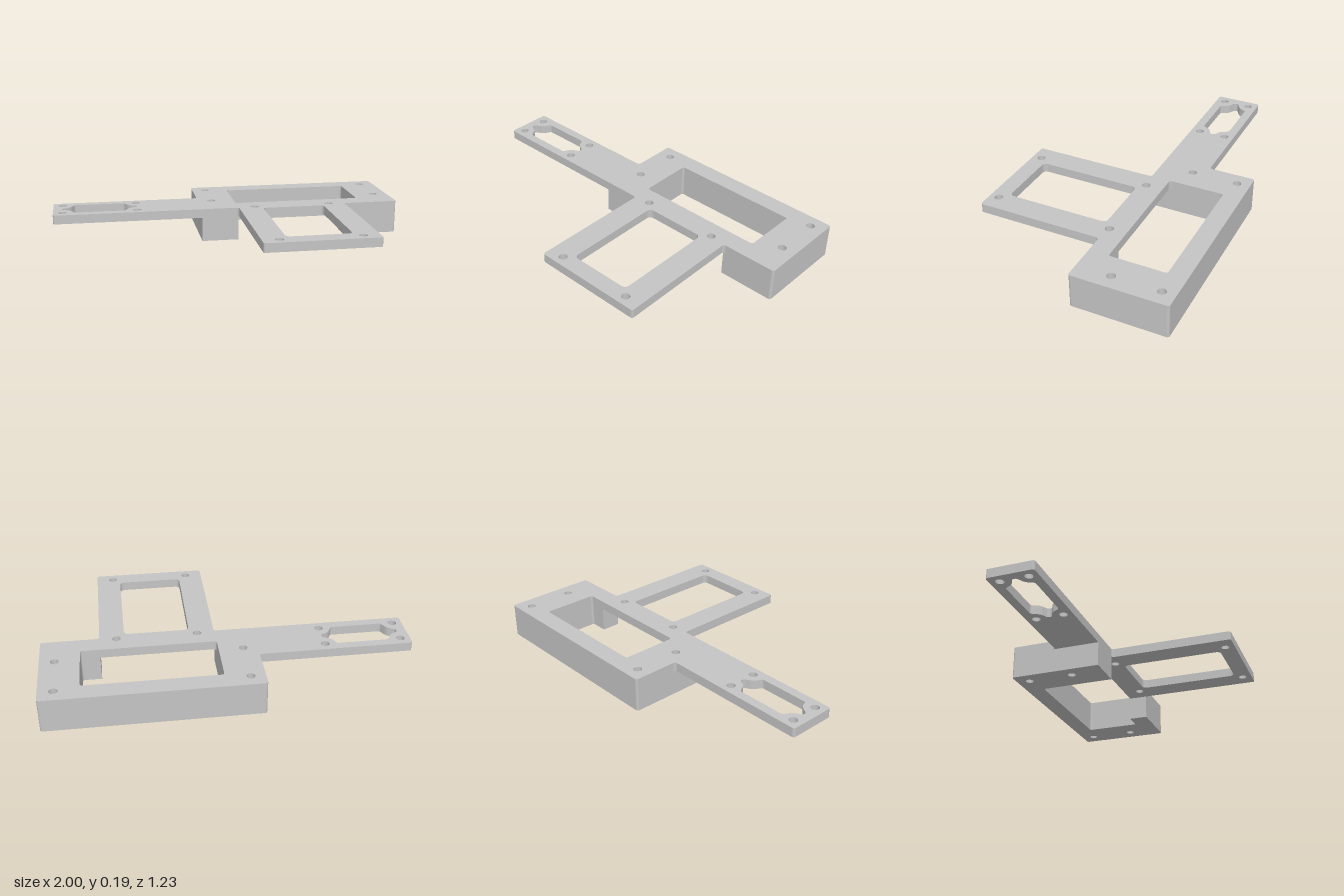
import * as THREE from 'three';

const TOP = 0.19, PLATE = 0.139, HOLE_R = 0.023;

// Traces a closed outline of [x, z, cornerRadius] points (radius optional).
// Outer outlines run clockwise seen from above, openings run anticlockwise.
function outline(points, path = new THREE.Shape()) {
  const n = points.length;
  const v = points.map(([x, z]) => new THREE.Vector2(x, -z));
  points.forEach(([, , r = 0], i) => {
    const p = v[i];
    const toward = (q) => p.clone().add(q.clone().sub(p).setLength(r));
    const a = r ? toward(v[(i + n - 1) % n]) : p;
    if (i === 0) path.moveTo(a.x, a.y);
    else path.lineTo(a.x, a.y);
    if (r) {
      const b = toward(v[(i + 1) % n]);
      path.quadraticCurveTo(p.x, p.y, b.x, b.y);
    }
  });
  path.closePath();
  return path;
}

// Cuts an opening through a shape.
function cut(shape, points) {
  shape.holes.push(outline(points, new THREE.Path()));
}

// Adds a round screw hole at every combination of the x and z values.
function drill(shape, xs, zs) {
  for (const x of xs) for (const z of zs) {
    shape.holes.push(new THREE.Path().absarc(x, -z, HOLE_R, 0, Math.PI * 2, false));
  }
}

// Extrudes a plan shape upward from the given height to the common top face.
function slab(name, shape, bottom, material) {
  const geo = new THREE.ExtrudeGeometry(shape, { depth: TOP - bottom, bevelEnabled: false, curveSegments: 12 });
  geo.rotateX(-Math.PI / 2).translate(0, bottom, 0);
  const mesh = new THREE.Mesh(geo, material);
  mesh.name = name;
  return mesh;
}

export function createModel() {
  const group = new THREE.Group();
  group.name = 'mountingBracket';
  const grey = new THREE.MeshStandardMaterial({ color: 0xc4c4c4 });
  grey.name = 'grey';

  // Tall block: a ring around the large window, open at the front
  const block = outline([
    [-0.16, -0.615, 0.015], [1, -0.615, 0.015], [1, -0.089, 0.015], [0.682, -0.089],
    [0.682, -0.197], [0.787, -0.197, 0.015], [0.787, -0.511, 0.015], [0.051, -0.511, 0.015],
    [0.051, -0.089], [-0.16, -0.089],
  ]);
  drill(block, [-0.081, 0.919], [-0.541, -0.279]);
  group.add(slab('block', block, 0, grey));

  // Front frame: thin plate bridging the block's opening, with small fillets at the joints
  const frame = outline([
    [0.051, -0.211], [0.055, -0.201], [0.065, -0.197], [0.682, -0.197], [0.682, -0.089],
    [0.695, -0.089], [0.686, -0.085], [0.682, -0.076], [0.682, 0.615, 0.015], [0.054, 0.615, 0.015],
    [0.054, -0.076], [0.05, -0.085], [0.041, -0.089], [0.051, -0.089],
  ]);
  cut(frame, [[0.19, -0.06, 0.03], [0.19, 0.52, 0.03], [0.547, 0.52, 0.03], [0.547, -0.06, 0.03]]);
  drill(frame, [0.147, 0.589], [-0.1, 0.562]);
  group.add(slab('frontFrame', frame, PLATE, grey));

  // Side arm: thin plate with a slot that narrows between the screw holes
  const arm = outline([
    [-1, -0.351, 0.015], [-0.173, -0.351], [-0.164, -0.355], [-0.16, -0.364],
    [-0.16, -0.089], [-1, -0.089, 0.015],
  ]);
  const midX = -0.737, midZ = -0.22;
  const quarter = [[0.142, 0.081, 0.01], [0.166, 0.034, 0.018], [0.211, 0.012, 0.01]];
  const corner = (sx, sz) => quarter.map(([x, z, r]) => [midX + sx * x, midZ + sz * z, r]);
  cut(arm, [
    ...corner(-1, -1), ...corner(-1, 1).reverse(),
    ...corner(1, 1), ...corner(1, -1).reverse(),
  ]);
  drill(arm, [-0.947, -0.527], [-0.298, -0.141]);
  group.add(slab('sideArm', arm, PLATE, grey));

  return group;
}
